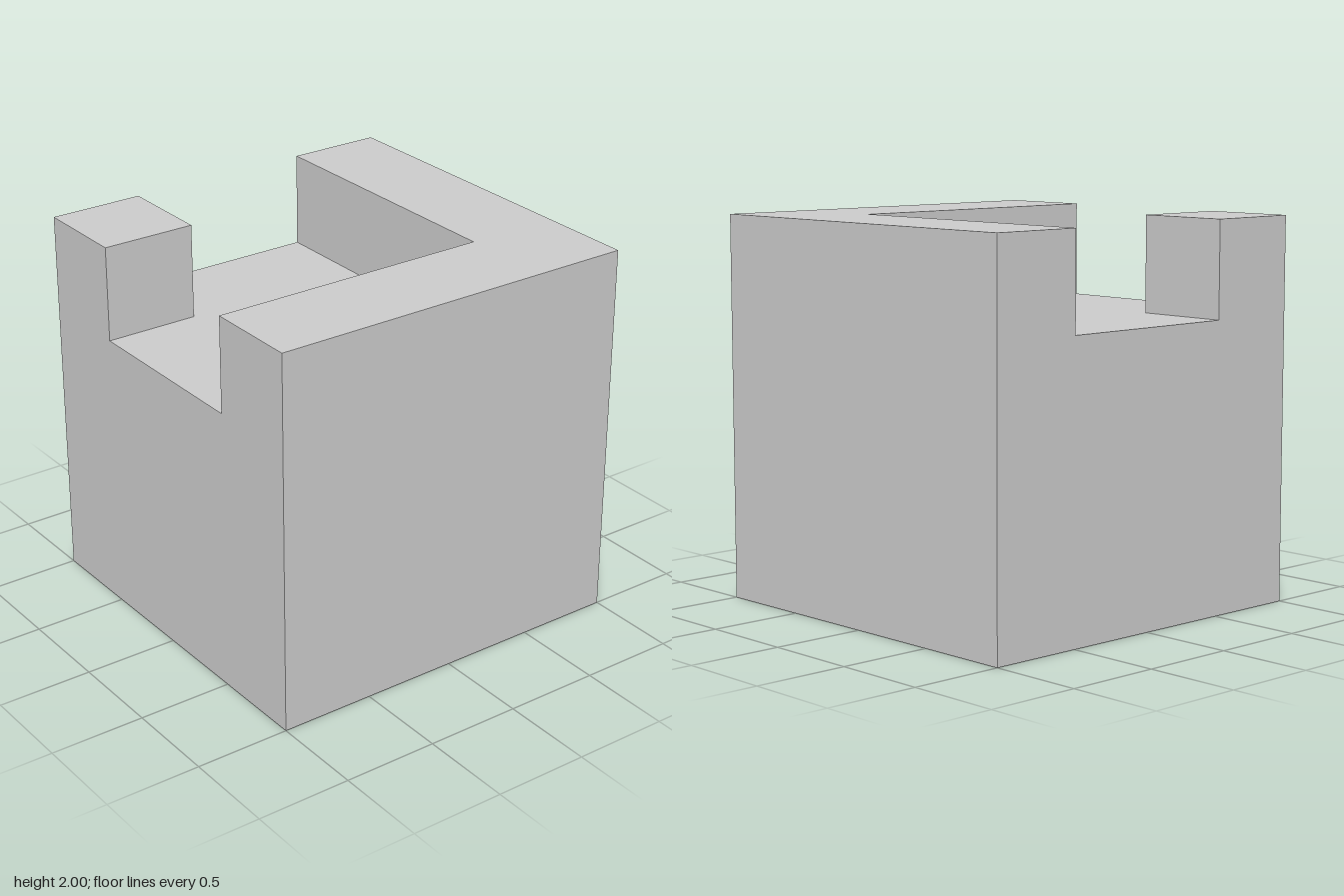
import * as THREE from 'three';

export function createModel() {
  const group = new THREE.Group();
  const material = new THREE.MeshStandardMaterial({ color: 0xcccccc, flatShading: true });
  const floorY = 1.5, height = 2, wall = 0.5;

  const add = (name, geometry, x, y, z) => {
    const mesh = new THREE.Mesh(geometry, material);
    mesh.name = name;
    mesh.position.set(x, y, z);
    group.add(mesh);
    return mesh;
  };

  // Solid block up to the recessed floor
  add('base', new THREE.BoxGeometry(2, floorY, 2), 0, floorY / 2, 0);

  // L-shaped wall along the back and left sides, drawn in plan (plan y = -z)
  const plan = new THREE.Shape([
    [-1, 1], [-1, 1 - wall], [1 - wall, 1 - wall], [1 - wall, -1], [1, -1], [1, 1],
  ].map(([x, y]) => new THREE.Vector2(x, y)));
  const wallGeometry = new THREE.ExtrudeGeometry(plan, { depth: height - floorY, bevelEnabled: false });
  wallGeometry.rotateX(-Math.PI / 2);
  add('cornerWall', wallGeometry, 0, floorY, 0);

  // Free-standing post at the front right corner
  add('cornerPost', new THREE.BoxGeometry(wall, height - floorY, wall),
    -1 + wall / 2, (floorY + height) / 2, 1 - wall / 2);

  return group;
}
